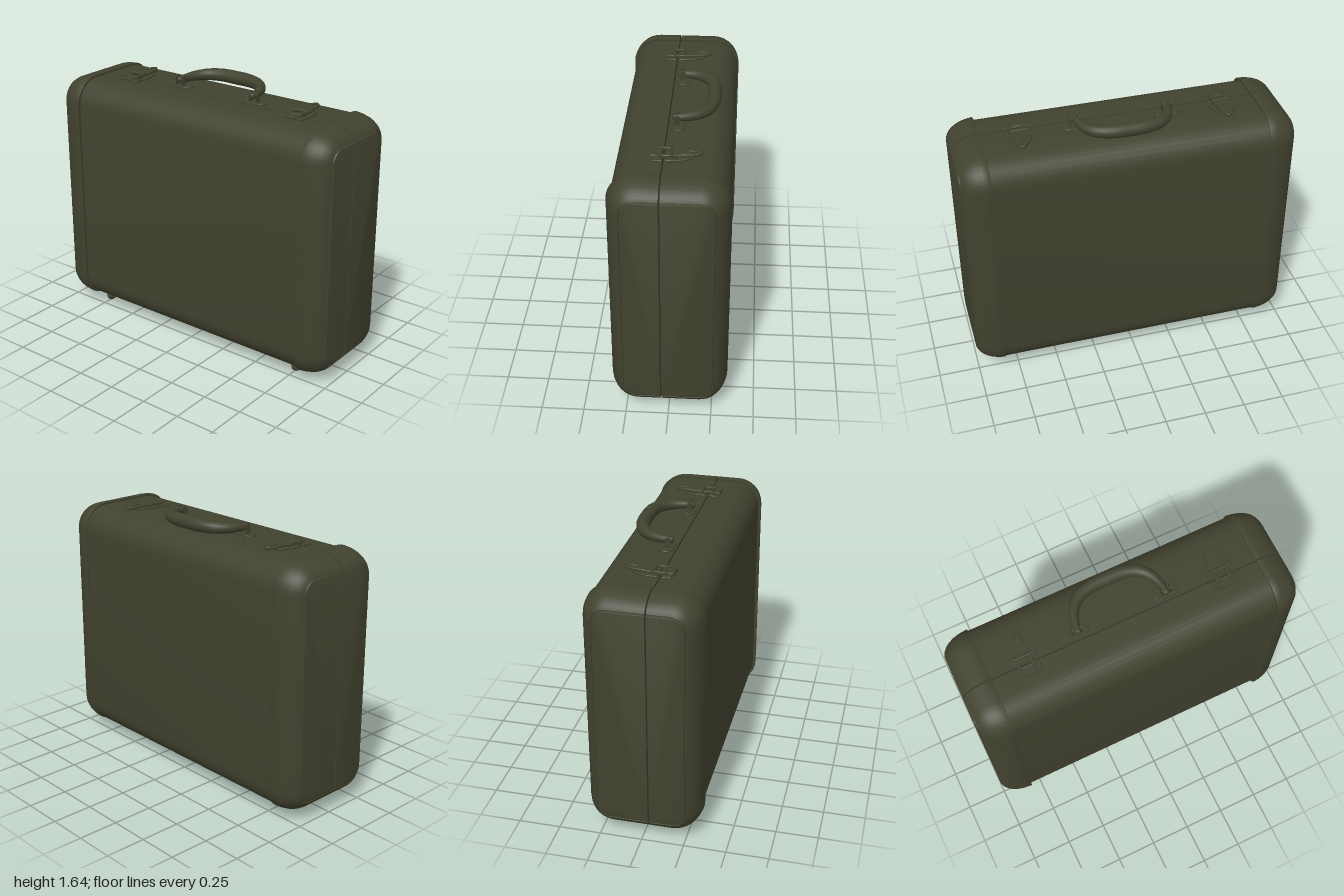
import * as THREE from 'three';
import { toCreasedNormals } from 'three/addons/utils/BufferGeometryUtils.js';

const olive = new THREE.MeshStandardMaterial({ color: 0x424230 });
olive.name = 'olive';

const GAP = { 1: 0.047, [-1]: 0.039 }; // the two shells stop short of each other here
const TOP = 1.543;

// Half of a rounded rectangle in y and z, open at the seam
function halfOutline(side, box, inset) {
  const y0 = box.y0 + inset, y1 = box.y1 - inset;
  const z1 = box.z[side] - inset, r = box.r - inset, n = 8;
  const pts = [[y0, GAP[side] * side]];
  for (let i = 0; i <= n; i++) {
    const a = (i / n) * Math.PI / 2;
    pts.push([y0 + r - r * Math.cos(a), z1 - r + r * Math.sin(a)]);
  }
  for (let i = 0; i <= n; i++) {
    const a = (i / n) * Math.PI / 2;
    pts.push([y1 - r + r * Math.sin(a), z1 - r + r * Math.cos(a)]);
  }
  pts.push([y1, GAP[side] * side]);
  return pts.map(([y, z]) => [y, z * side]);
}

// Joins outlines placed along x; each ring is [x, inset]
function loft(name, side, dir, box, rings, closeEnd) {
  const pos = [], idx = [], flip = side * dir < 0;
  const tri = (a, b, c) => idx.push(a, ...(flip ? [c, b] : [b, c]));
  let n = 0;
  for (const [x, inset] of rings) {
    const pts = halfOutline(side, box, inset);
    n = pts.length;
    for (const [y, z] of pts) pos.push(x * dir, y, z);
  }
  for (let i = 0; i < rings.length - 1; i++) {
    for (let j = 0; j < n; j++) {
      const k = (j + 1) % n, a = i * n, d = a + n;
      tri(a + j, d + j, d + k);
      tri(a + j, d + k, a + k);
    }
  }
  if (closeEnd) {
    const e = (rings.length - 1) * n;
    for (let j = 1; j < n - 1; j++) tri(e, e + j + 1, e + j);
  }
  const g = new THREE.BufferGeometry();
  g.setAttribute('position', new THREE.Float32BufferAttribute(pos, 3));
  g.setIndex(idx);
  return part(name, toCreasedNormals(g, 0.6));
}

function part(name, geometry, x = 0, y = 0, z = 0) {
  const m = new THREE.Mesh(geometry, olive);
  m.name = name;
  m.position.set(x, y, z);
  return m;
}

// Flat plate lying in x and z, from [x, z] corners or a ready shape
function plate(name, outline, thickness, y, smooth = false) {
  let shape;
  const v = outline.map(([x, z]) => new THREE.Vector2(x, -z));
  if (smooth) {
    shape = new THREE.Shape(new THREE.SplineCurve([...v, v[0]]).getPoints(28).slice(0, -1));
  } else shape = new THREE.Shape(v);
  const g = new THREE.ExtrudeGeometry(shape, {
    depth: thickness, bevelEnabled: true, bevelSize: 0.003, bevelThickness: 0.003, bevelSegments: 1,
  });
  g.rotateX(-Math.PI / 2);
  return part(name, g, 0, y, 0);
}

function stadium(w, d, cz) {
  const pts = [], r = Math.min(w, d) / 2;
  for (let i = 0; i < 20; i++) {
    const a = ((i + 0.5) / 20) * Math.PI * 2;
    pts.push([Math.cos(a) * r + Math.sign(Math.cos(a)) * (w / 2 - r), cz - Math.sin(a) * r]);
  }
  return pts;
}

function rect(x0, x1, z0, z1) {
  return [[x0, z1], [x1, z1], [x1, z0], [x0, z0]];
}

function makeLatch(x) {
  const g = new THREE.Group();
  g.name = 'latch';
  g.add(plate('catchPlate', rect(-0.077, 0.077, 0.055, 0.105), 0.007, TOP));
  g.add(plate('catchTongue', rect(-0.035, 0.035, 0.05, 0.112), 0.014, TOP));
  // Base that tapers towards the back
  g.add(plate('latchPlate', [[-0.077, 0.026], [0.077, 0.026], [0.077, -0.03], [0.06, -0.08],
    [0.035, -0.12], [-0.035, -0.12], [-0.06, -0.08], [-0.077, -0.03]], 0.008, TOP));
  for (const s of [-1, 1]) {
    g.add(plate('latchArm', rect(s * 0.04 - 0.008, s * 0.04 + 0.008, -0.05, 0.07), 0.016, TOP + 0.006));
  }
  const lever = plate('latchLever', [[-0.03, -0.01], [0.03, -0.01], [0.038, -0.07], [0.027, -0.14],
    [0, -0.172], [-0.027, -0.14], [-0.038, -0.07]], 0.01, TOP + 0.012, true);
  g.add(lever);
  g.add(plate('leverRidge', stadium(0.014, 0.06, -0.12).map(([a, z]) =>
    [a, -0.12 + (z + 0.12) * 4]), 0.005, TOP + 0.024));
  const pin = new THREE.CylinderGeometry(0.011, 0.011, 0.1, 12).rotateZ(Math.PI / 2);
  g.add(part('latchPin', pin, 0, TOP + 0.022, 0.0));
  g.add(part('catchPin', pin, 0, TOP + 0.014, 0.06));
  g.position.x = x;
  return g;
}

function makeHandleMount(x) {
  const g = new THREE.Group();
  g.name = 'handleMount';
  g.add(plate('mountPlate', stadium(0.16, 0.075, -0.015), 0.006, TOP));
  for (const s of [-1, 1]) {
    g.add(part('mountLug', new THREE.BoxGeometry(0.008, 0.045, 0.034), s * 0.026, 1.572, -0.008));
    const round = new THREE.CylinderGeometry(0.017, 0.017, 0.008, 14).rotateZ(Math.PI / 2);
    g.add(part('mountLugTop', round, s * 0.026, 1.594, -0.008));
    g.add(part('rivet', new THREE.SphereGeometry(0.009, 10, 6), s * 0.055, TOP + 0.008, -0.015));
  }
  const pin = new THREE.CylinderGeometry(0.007, 0.007, 0.064, 10).rotateZ(Math.PI / 2);
  g.add(part('mountPin', pin, 0, 1.592, -0.008));
  g.position.x = x;
  return g;
}

// Curved grip, thick in the middle and thin at the ends
function makeHandle() {
  const half = [[0.272, 1.588, 0.004], [0.264, 1.588, -0.06], [0.238, 1.591, -0.125],
    [0.185, 1.595, -0.178], [0.1, 1.598, -0.206]];
  const pts = [...half.map(([x, y, z]) => [-x, y, z]), [0, 1.598, -0.21], ...half.slice().reverse()];
  const curve = new THREE.CatmullRomCurve3(pts.map(p => new THREE.Vector3(...p)));
  const segs = 56, sides = 18;
  const g = new THREE.TubeGeometry(curve, segs, 1, sides);
  const p = g.attributes.position, c = new THREE.Vector3(), v = new THREE.Vector3();
  for (let i = 0; i <= segs; i++) {
    curve.getPointAt(i / segs, c);
    const r = 0.018 + 0.023 * Math.pow(Math.max(0, Math.sin(Math.PI * i / segs)), 0.8);
    for (let j = 0; j <= sides; j++) {
      const k = i * (sides + 1) + j;
      v.fromBufferAttribute(p, k).sub(c).multiplyScalar(r).add(c);
      p.setXYZ(k, v.x, v.y, v.z);
    }
  }
  const group = new THREE.Group();
  group.name = 'handle';
  group.add(part('grip', g));
  for (const s of [-1, 1]) {
    group.add(part('gripEnd', new THREE.SphereGeometry(0.019, 14, 10), s * 0.272, 1.588, 0.004));
  }
  return group;
}

export function createModel() {
  const model = new THREE.Group();
  model.name = 'suitcase';

  // Front and back shells with their rounded end caps
  const body = { y0: 0.053, y1: TOP, z: { 1: 0.322, [-1]: 0.332 }, r: 0.155 };
  const cap = { y0: 0.045, y1: 1.557, z: { 1: 0.34, [-1]: 0.34 }, r: 0.165 };
  for (const side of [1, -1]) {
    const label = side > 0 ? 'front' : 'back';
    model.add(loft(label + 'Shell', side, 1, body, [[-0.86, 0], [0.86, 0]], false));
    for (const dir of [1, -1]) {
      const edge = dir > 0 ? 0.832 : 0.82;
      model.add(loft(label + 'EndCap', side, dir, cap, [[edge, 0.03], [edge, 0.002], [edge + 0.005, 0],
        [0.875, 0.005], [0.91, 0.014], [0.94, 0.027], [0.965, 0.043], [0.983, 0.061], [0.994, 0.079],
        [0.989, 0.082], [0.989, 0.084], [0.998, 0.087], [1, 0.092]], true));
    }
  }

  // Fittings on the top
  for (const s of [-1, 1]) {
    model.add(makeLatch(s * 0.612));
    model.add(makeHandleMount(s * 0.278));
  }
  model.add(makeHandle());

  // Feet and hinges underneath
  const footProfile = [[0, 0], [0.014, 0.003], [0.025, 0.012], [0.03, 0.026], [0.029, 0.04], [0.024, 0.07]]
    .map(([x, y]) => new THREE.Vector2(x, y));
  const foot = new THREE.LatheGeometry(footProfile, 18);
  const knuckle = new THREE.CylinderGeometry(0.007, 0.007, 0.12, 10).rotateZ(Math.PI / 2);
  for (const s of [-1, 1]) {
    for (const z of [0.18, -0.135]) model.add(part('foot', foot, s * 0.752, 0, z));
    const hinge = new THREE.Group();
    hinge.name = 'hinge';
    hinge.add(plate('hingeLeafFront', rect(-0.06, 0.06, 0.047, 0.095), 0.006, 0.048));
    hinge.add(plate('hingeLeafBack', rect(-0.06, 0.06, -0.01, 0.039), 0.006, 0.048));
    hinge.add(part('hingeKnuckle', knuckle, 0, 0.05, 0.043));
    hinge.position.x = s * 0.625;
    model.add(hinge);
  }
  return model;
}
